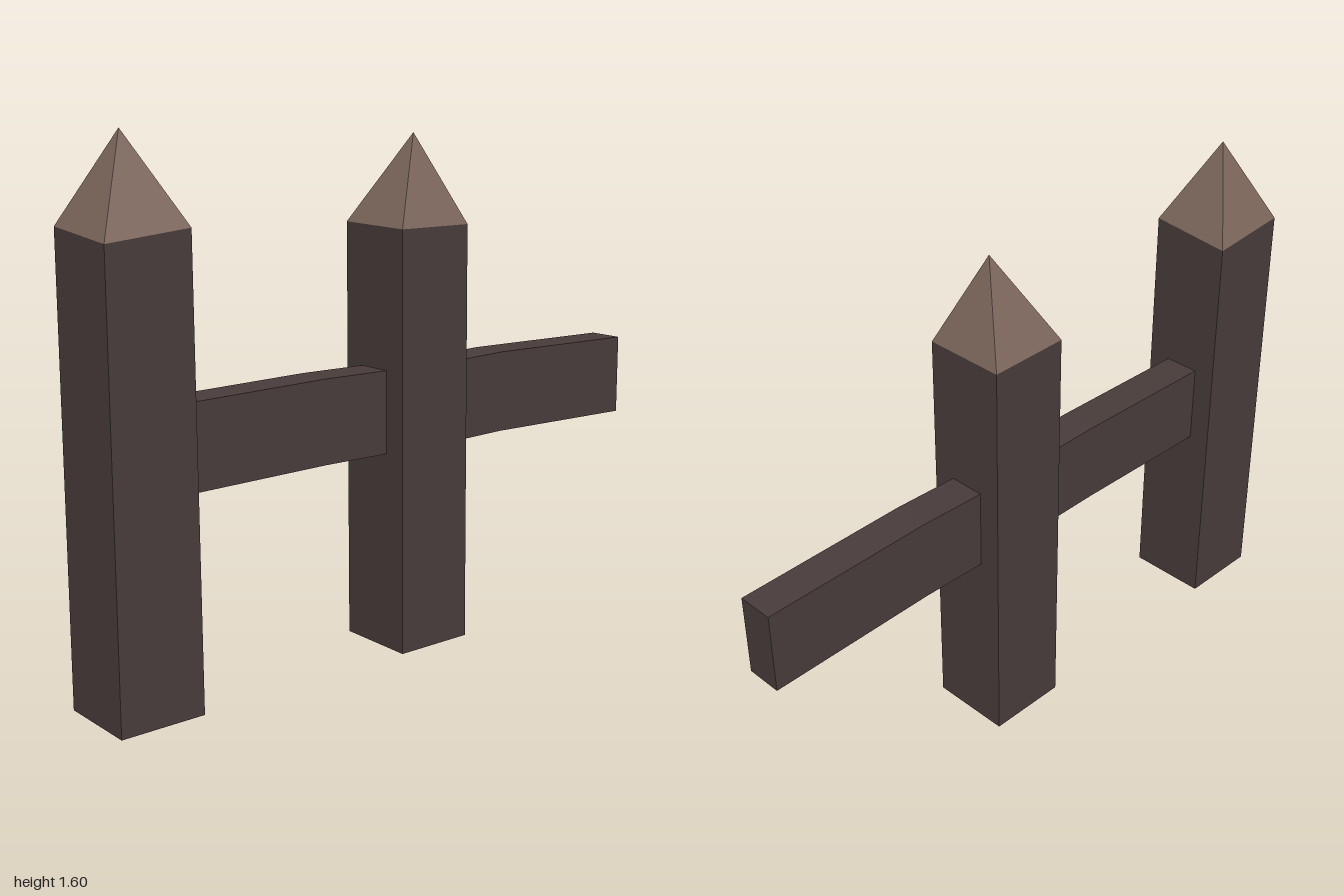
import * as THREE from 'three';

// Skins four-cornered rings of [x, y, z] points; a ring is wound so that faces point outward.
function loft(rings, capStart, capEnd) {
  const pos = [];
  const quad = (a, b, c, d) => pos.push(...a, ...b, ...c, ...a, ...c, ...d);
  for (let i = 0; i < rings.length - 1; i++) {
    for (let k = 0; k < 4; k++) {
      const n = (k + 1) % 4;
      quad(rings[i][k], rings[i][n], rings[i + 1][n], rings[i + 1][k]);
    }
  }
  const first = rings[0], last = rings[rings.length - 1];
  if (capStart) quad(first[3], first[2], first[1], first[0]);
  if (capEnd) quad(last[0], last[1], last[2], last[3]);
  return toGeometry(pos);
}

function toGeometry(pos) {
  const g = new THREE.BufferGeometry();
  g.setAttribute('position', new THREE.Float32BufferAttribute(pos, 3));
  g.computeVertexNormals();
  return g;
}

// Horizontal ring: front left, front right, back right, back left, each with its own height.
const levelRing = (x0, x1, z0, z1, h) =>
  [[x0, h[0], z1], [x1, h[1], z1], [x1, h[2], z0], [x0, h[3], z0]];

// Upright ring across a rail at x.
const railRing = ([x, y0, y1]) =>
  [[x, y0, 0.056], [x, y0, -0.058], [x, y1, -0.058], [x, y1, 0.056]];

export function createModel() {
  const group = new THREE.Group();
  const darkWood = new THREE.MeshStandardMaterial({ color: 0x483c3b });
  darkWood.name = 'dark wood';
  const cutWood = new THREE.MeshStandardMaterial({ color: 0x7b655a });
  cutWood.name = 'cut wood';

  const add = (name, geometry, material) => {
    const mesh = new THREE.Mesh(geometry, material);
    mesh.name = name;
    group.add(mesh);
  };

  // Slightly tapered posts with sharpened points
  const posts = [
    { name: 'outerPost', base: [-1, -0.737], top: [-1, -0.742],
      heights: [1.32, 1.345, 1.32, 1.345], apex: [-0.872, 1.6, 0] },
    { name: 'middlePost', base: [-0.02, 0.238], top: [-0.025, 0.23],
      heights: [1.295, 1.295, 1.295, 1.3], apex: [0.117, 1.565, 0.012] },
  ];
  for (const { name, base, top, heights, apex } of posts) {
    const foot = levelRing(...base, -0.13, 0.13, [0, 0, 0, 0]);
    const rim = levelRing(...top, -0.128, 0.13, heights);
    add(name, loft([foot, rim], true, false), darkWood);
    const tip = [];
    rim.forEach((p, k) => tip.push(...p, ...rim[(k + 1) % 4], ...apex));
    add(name + 'Point', toGeometry(tip), cutWood);
  }

  // Gently bowed rails as [x, bottom, top], with ends sunk into the posts
  const rails = {
    innerRail: [[-0.78, 0.61, 0.865], [-0.25, 0.617, 0.873], [0.02, 0.614, 0.869]],
    outerRail: [[0.2, 0.611, 0.865], [0.45, 0.616, 0.872], [1, 0.605, 0.861]],
  };
  for (const [name, stations] of Object.entries(rails)) {
    add(name, loft(stations.map(railRing), true, true), darkWood);
  }
  return group;
}
